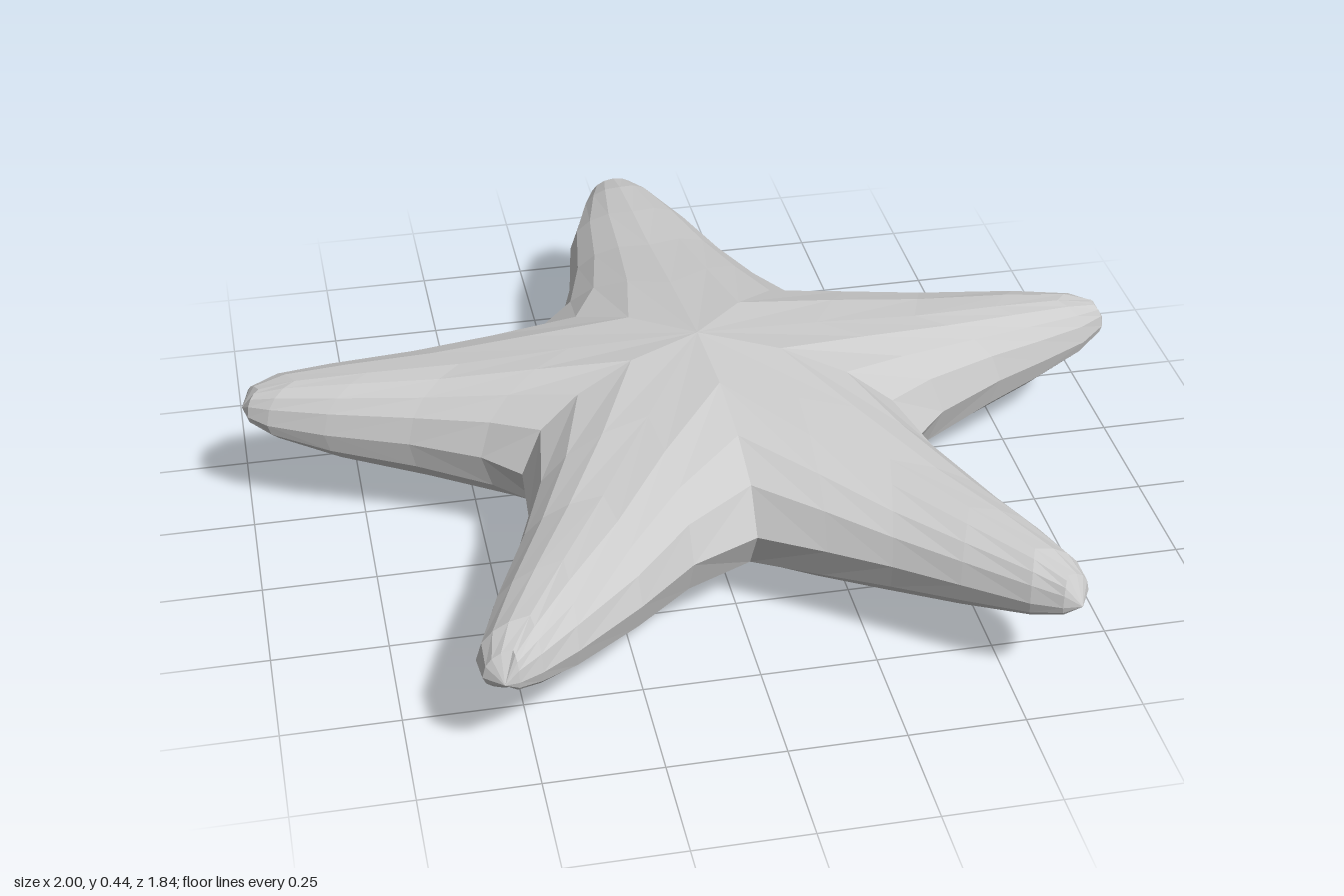
import * as THREE from 'three';

// Notches between the arms [x, z]; notch i lies clockwise (seen from above) of arm i
const notches = [[0.32, -0.27], [0.45, 0.28], [0.03, 0.57], [-0.42, 0.24], [-0.35, -0.23]];

// Arms clockwise from the back: tip [x, y, z] and the outline [x, z] of both sides, notch to tip
const arms = [
  { name: 'backArm', tip: [-0.03, 0.3, -0.87],
    before: [[-0.25, -0.32], [-0.2, -0.47], [-0.17, -0.64], [-0.12, -0.77], [-0.09, -0.83]],
    after: [[0.25, -0.37], [0.19, -0.5], [0.13, -0.66], [0.07, -0.79], [0.03, -0.84]] },
  { name: 'leftArm', tip: [1, 0.26, -0.08],
    before: [[0.45, -0.25], [0.6, -0.23], [0.83, -0.19], [0.95, -0.15], [0.99, -0.11]],
    after: [[0.54, 0.19], [0.7, 0.1], [0.82, 0.05], [0.93, 0], [0.99, -0.05]] },
  { name: 'frontLeftArm', tip: [0.62, 0.23, 0.945],
    before: [[0.48, 0.43], [0.56, 0.62], [0.61, 0.73], [0.65, 0.84], [0.65, 0.89]],
    after: [[0.16, 0.65], [0.28, 0.73], [0.4, 0.82], [0.52, 0.91], [0.58, 0.94]] },
  { name: 'frontRightArm', tip: [-0.56, 0.23, 0.965],
    before: [[-0.12, 0.64], [-0.25, 0.76], [-0.4, 0.88], [-0.48, 0.935], [-0.53, 0.96]],
    after: [[-0.43, 0.4], [-0.48, 0.55], [-0.56, 0.74], [-0.605, 0.87], [-0.6, 0.93]] },
  { name: 'rightArm', tip: [-1, 0.27, -0.07],
    before: [[-0.5, 0.17], [-0.65, 0.1], [-0.83, 0.04], [-0.95, -0.01], [-0.99, -0.04]],
    after: [[-0.5, -0.2], [-0.65, -0.19], [-0.83, -0.175], [-0.93, -0.16], [-0.985, -0.12]] },
];

const center = [0, 0.08];
const along = [0, 0.28, 0.52, 0.72, 0.88, 0.96, 1];      // ridge stations, centre to tip
const topDrop = [0, 0.2, 0.4, 0.5, 0.6, 0.72, 1];        // fall of the upper ridge
const bottomRise = [0, 0.15, 0.33, 0.52, 0.72, 0.85, 1]; // rise of the lower ridge
const across = [0, 0.38, 0.68, 0.89, 1];                 // ridge to rim
const lerp = THREE.MathUtils.lerp;

// Point on an arm: station k, fraction u from ridge to rim, upper or lower skin
function surfacePoint(tip, rim, k, u, isTop) {
  const middle = lerp(0.22, tip[1], k / 6);
  const ridge = isTop ? lerp(0.435, tip[1], topDrop[k]) : tip[1] * bottomRise[k];
  return [
    lerp(lerp(center[0], tip[0], along[k]), rim[k][0], u),
    middle + (ridge - middle) * Math.sqrt(1 - u * u),
    lerp(lerp(center[1], tip[2], along[k]), rim[k][1], u),
  ];
}

function armGeometry(arm, index) {
  const { tip } = arm;
  const end = [tip[0], tip[2]];
  const rims = [
    [notches[(index + 4) % 5], ...arm.before, end],
    [notches[index], ...arm.after, end],
  ];
  const positions = [];
  rims.forEach((rim, side) => {
    for (const isTop of [true, false]) {
      const flip = (side === 1) === isTop;
      for (let k = 0; k < 6; k++) {
        for (let j = 0; j < across.length - 1; j++) {
          const point = (dk, dj) => surfacePoint(tip, rim, k + dk, across[j + dj], isTop);
          const a = point(0, 0), b = point(1, 0), c = point(1, 1), d = point(0, 1);
          const triangles = k === 5 ? [[a, b, d]] : [[a, b, c], [a, c, d]]; // one triangle at the tip
          for (const [p, q, r] of triangles) positions.push(...p, ...(flip ? r : q), ...(flip ? q : r));
        }
      }
    }
  });
  const geometry = new THREE.BufferGeometry();
  geometry.setAttribute('position', new THREE.Float32BufferAttribute(positions, 3));
  geometry.computeVertexNormals();
  return geometry;
}

export function createModel() {
  const group = new THREE.Group();
  group.name = 'starfish';
  const material = new THREE.MeshStandardMaterial({ color: 0xcccccc, flatShading: true });
  // Each arm carries its share of the central disc
  arms.forEach((arm, index) => {
    const mesh = new THREE.Mesh(armGeometry(arm, index), material);
    mesh.name = arm.name;
    group.add(mesh);
  });
  return group;
}
